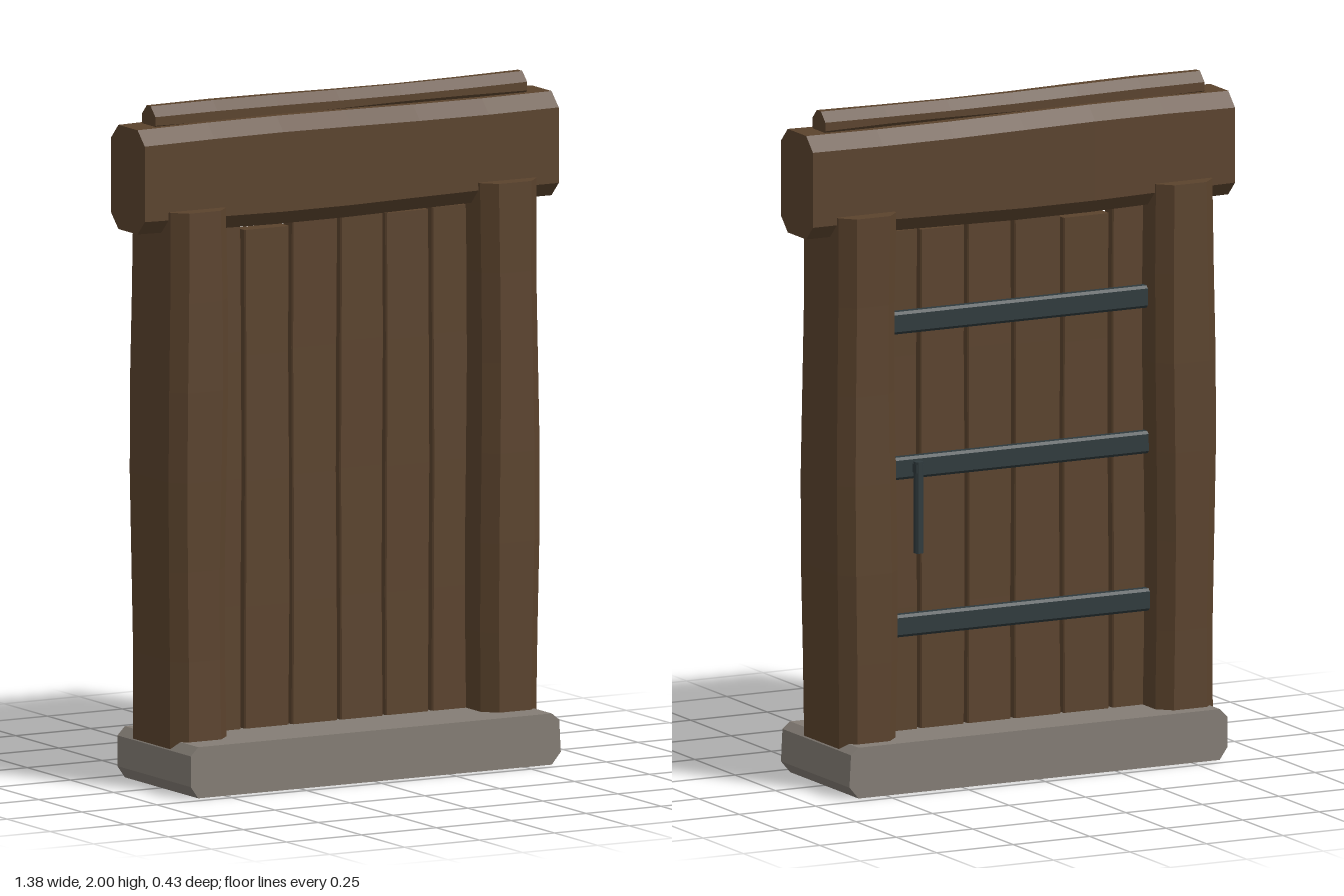
import * as THREE from 'three';

const wood = new THREE.MeshStandardMaterial({ color: 0x5b432d });
wood.name = 'wood';
const stone = new THREE.MeshStandardMaterial({ color: 0x847d75 });
stone.name = 'stone';
const iron = new THREE.MeshStandardMaterial({ color: 0x2f3a3d });
iron.name = 'iron';

// Bar with cut corners along z, centred, slightly crooked along its length
function bar(w, h, length, cut, steps = 1, wobble = 0, phase = 0) {
  const a = w / 2, b = h / 2;
  const shape = new THREE.Shape([
    [a - cut, -b], [a, -b + cut], [a, b - cut], [a - cut, b],
    [-a + cut, b], [-a, b - cut], [-a, -b + cut], [-a + cut, -b],
  ].map(([x, y]) => new THREE.Vector2(x, y)));
  const geo = new THREE.ExtrudeGeometry(shape, { depth: length, steps, bevelEnabled: false });
  geo.translate(0, 0, -length / 2);
  const p = geo.attributes.position;
  for (let i = 0; i < p.count; i++) {
    const t = (p.getZ(i) / length) * 7 + phase;
    const x = p.getX(i), y = p.getY(i);
    p.setX(i, x + wobble * Math.sin(t + Math.sign(x)));
    p.setY(i, y + wobble * Math.sin(t * 0.9 + 2 * Math.sign(y)));
  }
  geo.computeVertexNormals();
  return geo;
}

const upright = (...args) => bar(...args).rotateX(-Math.PI / 2);
const crosswise = (...args) => bar(...args).rotateY(Math.PI / 2);

export function createModel() {
  const group = new THREE.Group();
  const add = (name, geo, mat, x, y, z) => {
    const mesh = new THREE.Mesh(geo, mat);
    mesh.name = name;
    mesh.position.set(x, y, z);
    group.add(mesh);
    return mesh;
  };

  // Stone step, its ends cut at top and bottom
  const step = new THREE.Shape([
    [-0.59, 0], [0.59, 0], [0.62, 0.035], [0.615, 0.13],
    [0.59, 0.15], [-0.59, 0.15], [-0.615, 0.125], [-0.615, 0.035],
  ].map(([x, y]) => new THREE.Vector2(x, y)));
  add('doorstep', new THREE.ExtrudeGeometry(step, { depth: 0.425, bevelEnabled: false }), stone, 0, 0, -0.2125);

  // Door posts
  for (const side of [-1, 1]) {
    const name = side > 0 ? 'leftPost' : 'rightPost';
    add(name, upright(0.19, 0.3, 1.58, 0.04, 6, 0.004, side), wood, side * 0.52, 0.91, -0.021);
  }

  // Lintel and the thin ridge beam on top of it
  add('lintel', crosswise(0.2, 0.31, 1.38, 0.042, 6, 0.004, 1), wood, 0, 1.787, -0.022);
  add('ridgeBeam', crosswise(0.078, 0.08, 1.24, 0.028, 6, 0.003, 2), wood, 0, 1.957, -0.024);

  // Door boards: left edge, right edge, top
  const boards = [
    [-0.47, -0.324, 1.63], [-0.312, -0.164, 1.612], [-0.154, -0.005, 1.625],
    [0.006, 0.148, 1.635], [0.158, 0.303, 1.622], [0.314, 0.46, 1.626],
  ];
  boards.forEach(([left, right, top], i) => {
    const geo = upright(right - left, 0.053, top - 0.14, 0.004, 4, 0.0015, i * 1.7);
    add('doorBoard' + (i + 1), geo, wood, (left + right) / 2, (top + 0.14) / 2, -0.025);
  });

  // Iron straps and pull handle on the back of the door
  [0.465, 0.93, 1.36].forEach((y, i) => {
    add('strap' + (i + 1), crosswise(0.036, 0.066, 0.87, 0.008), iron, 0, y, -0.068);
  });
  add('handle', upright(0.025, 0.025, 0.27, 0.006), iron, 0.335, 0.815, -0.1);
  add('handleMount', new THREE.BoxGeometry(0.025, 0.025, 0.04), iron, 0.335, 0.93, -0.09);

  return group;
}
